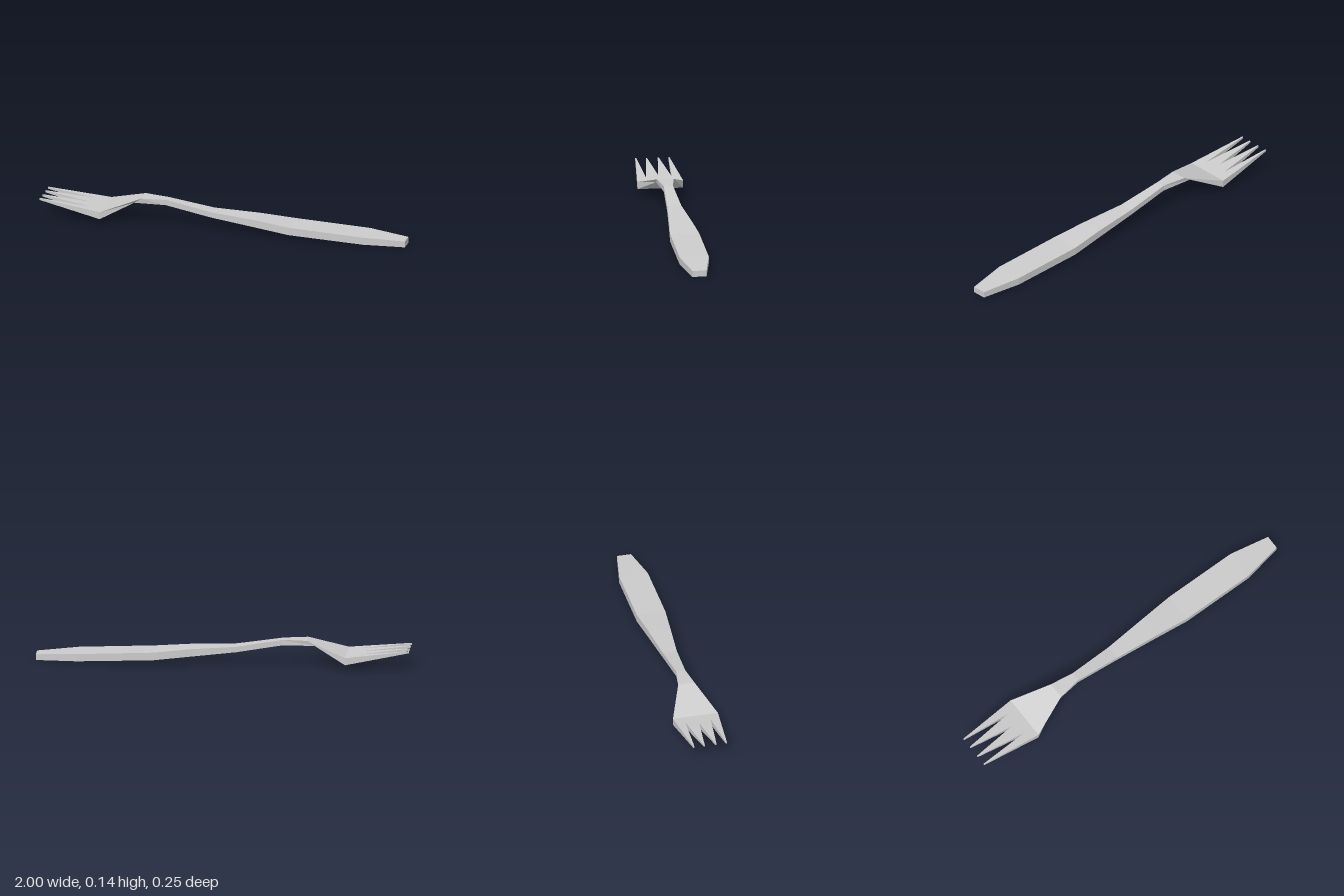
import * as THREE from 'three';

const material = new THREE.MeshStandardMaterial({ color: 0xcccccc, flatShading: true });

// Flat-shaded mesh from a list of triangle corners
function facetedMesh(name, corners) {
  const geometry = new THREE.BufferGeometry();
  geometry.setAttribute('position', new THREE.Float32BufferAttribute(corners.flat(), 3));
  geometry.computeVertexNormals();
  const mesh = new THREE.Mesh(geometry, material);
  mesh.name = name;
  return mesh;
}

const quad = (a, b, c, d) => [a, b, c, a, c, d];

// Rectangular sections from tail to head: [top x, top y, bottom x, bottom y, half width]
const sections = [
  [1.0, 0.033, 1.0, 0.0, 0.038],
  [0.78, 0.048, 0.78, 0.008, 0.078],
  [0.37, 0.065, 0.37, 0.023, 0.078],
  [0.18, 0.083, 0.18, 0.042, 0.06],
  [-0.07, 0.097, -0.07, 0.067, 0.038],
  [-0.32, 0.138, -0.32, 0.108, 0.025],
  [-0.45, 0.14, -0.49, 0.113, 0.045],
  [-0.66, 0.07, -0.66, 0.031, 0.123],
];

function makeHandle() {
  // Corners run top +z, top -z, bottom -z, bottom +z
  const rings = sections.map(([tx, ty, bx, by, w]) => [
    [tx, ty, w], [tx, ty, -w], [bx, by, -w], [bx, by, w],
  ]);
  const corners = quad(rings[0][3], rings[0][2], rings[0][1], rings[0][0]);
  for (let i = 0; i < rings.length - 1; i++) {
    for (let k = 0; k < 4; k++) {
      const n = (k + 1) % 4;
      corners.push(...quad(rings[i][k], rings[i][n], rings[i + 1][n], rings[i + 1][k]));
    }
  }
  return facetedMesh('handleAndNeck', corners);
}

function makeTines() {
  // Half outline from the shoulder round two tines to the middle notch: [x, z]
  const half = [
    [-0.66, 0.123], [-1, 0.092], [-1, 0.086], [-0.72, 0.069],
    [-1, 0.035], [-1, 0.029], [-0.75, 0],
  ];
  const mirrored = half.slice(0, -1).reverse().map(([x, z]) => [x, -z]);
  const outline = [...half, ...mirrored].map(([x, z]) => new THREE.Vector2(x, z));

  // The tines rise and thin evenly towards their tips
  const along = (x) => (-0.66 - x) / 0.34;
  const top = (p) => [p.x, 0.07 + 0.037 * along(p.x), p.y];
  const bottom = (p) => [p.x, 0.031 + 0.066 * along(p.x), p.y];

  const corners = [];
  for (const face of THREE.ShapeUtils.triangulateShape(outline, [])) {
    let [a, b, c] = face.map((i) => outline[i]);
    if (THREE.ShapeUtils.area([a, b, c]) > 0) [b, c] = [c, b];
    corners.push(top(a), top(b), top(c), bottom(a), bottom(c), bottom(b));
  }
  // Side walls; the edge joining the head stays open
  for (let i = 0; i < outline.length - 1; i++) {
    const a = outline[i], b = outline[i + 1];
    corners.push(...quad(top(a), top(b), bottom(b), bottom(a)));
  }
  return facetedMesh('tines', corners);
}

export function createModel() {
  const fork = new THREE.Group();
  fork.name = 'fork';
  fork.add(makeHandle(), makeTines());
  return fork;
}
